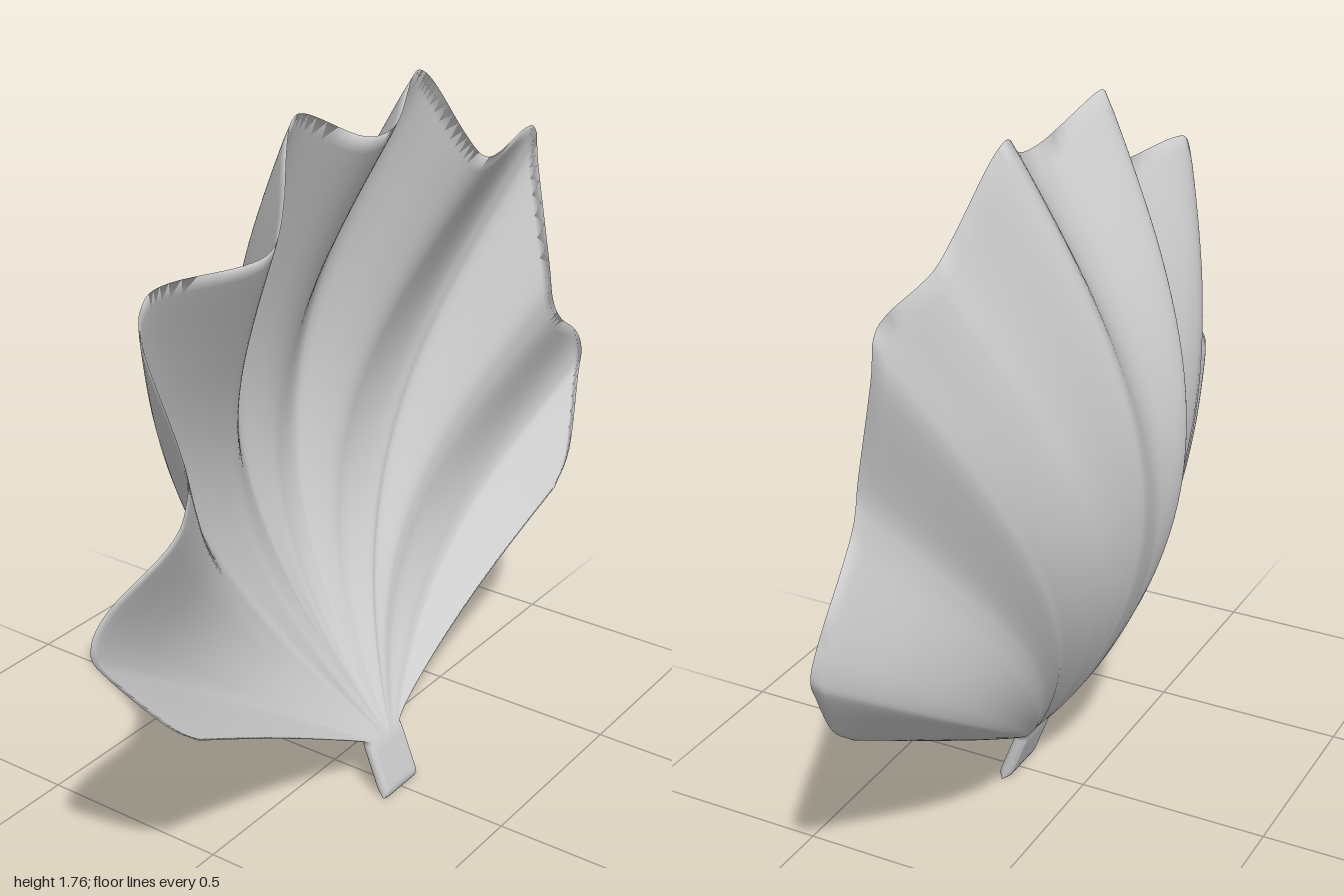
import * as THREE from 'three';
import { mergeVertices } from 'three/addons/utils/BufferGeometryUtils.js';

// Scalloped rim from the centre valley out to the side edge: x, y, z, bulge depth of that ray
const halfRim = [
  [0, 1.675, 0.13, 0.325], [0.08, 1.69, 0.12, 0.325], [0.2, 1.755, 0.075, 0.315],
  [0.25, 1.755, 0.07, 0.31], [0.29, 1.71, 0.085, 0.3], [0.35, 1.6, 0.12, 0.285],
  [0.41, 1.53, 0.138, 0.273], [0.5, 1.515, 0.13, 0.262], [0.69, 1.525, 0.09, 0.225],
  [0.76, 1.5, 0.08, 0.208], [0.77, 1.41, 0.085, 0.2], [0.735, 1.17, 0.15, 0.175],
  [0.745, 1.07, 0.16, 0.165], [0.8, 1.0, 0.155, 0.155], [0.95, 0.91, 0.12, 0.12],
  [1.0, 0.84, 0.115, 0.105], [0.97, 0.77, 0.125, 0.09], [0.85, 0.61, 0.175, 0.045],
  [0.76, 0.53, 0.185, 0.02],
];
const rim = [
  ...halfRim.slice(1).reverse().map(([x, y, z, d]) => [-x, y, z, d]),
  ...halfRim,
];
const rimCurve = new THREE.CatmullRomCurve3(
  rim.map(([x, y, z]) => new THREE.Vector3(x, y, z)), false, 'catmullrom', 0.5);
const depthCurve = new THREE.CatmullRomCurve3(
  rim.map(([x, , , d]) => new THREE.Vector3(x, d, 0)), false, 'catmullrom', 0.5);

// Middle surface: u runs across; t runs from the stem's foot (-1) to the hinge (0) to the rim (1)
function surfacePoint(u, t) {
  const s = 2 * u - 1;
  const hinge = new THREE.Vector3(0.072 * s * Math.abs(s), 0.145, 0.143);
  if (t < 0) return hinge.add(new THREE.Vector3(0, 0.145 * t, -0.057 * t));
  const p = hinge.lerp(rimCurve.getPoint(u), t);
  p.z -= depthCurve.getPoint(u).y * Math.sin(Math.PI * Math.pow(t, 0.9));
  return p;
}

// Half thickness: fullest at the stem, rounded off at the foot, the sides and the rim
function halfThickness(u, t) {
  const side = Math.sqrt(Math.min(1, Math.min(u, 1 - u) * 25));
  const end = Math.sqrt(Math.min(1, t < 0 ? (1 + t) * 8 + 0.1 : (1 - t) * 5));
  const body = THREE.MathUtils.lerp(0.018, 0.009, THREE.MathUtils.smoothstep(t, -0.2, 0.25));
  return body * side * end;
}

// Closed thin shell: each column goes up the front face and down the back face
function shellGeometry() {
  const across = (rim.length - 1) * 5;
  const rows = [];
  for (let j = 0; j < 12; j++) rows.push(j / 12 - 1);
  for (let j = 0; j <= 36; j++) rows.push(j / 36);
  const loop = [
    ...rows.map((t) => [t, 1]),
    ...rows.slice(0, -1).reverse().map((t) => [t, -1]),
  ];
  const n = loop.length;
  const positions = [], index = [];
  for (let i = 0; i <= across; i++) {
    const u = i / across;
    for (const [t, face] of loop) {
      const p = surfacePoint(u, t);
      positions.push(p.x, p.y, p.z + face * halfThickness(u, t));
    }
  }
  for (let i = 0; i < across; i++) {
    for (let j = 0; j < n; j++) {
      const a = i * n + j, b = a + n;
      const a2 = i * n + (j + 1) % n, b2 = a2 + n;
      index.push(a, b, b2, a, b2, a2);
    }
  }
  const geometry = new THREE.BufferGeometry();
  geometry.setAttribute('position', new THREE.Float32BufferAttribute(positions, 3));
  geometry.setIndex(index);
  const merged = mergeVertices(geometry, 1e-5);
  merged.computeVertexNormals();
  return merged;
}

export function createModel() {
  const material = new THREE.MeshStandardMaterial({ color: 0xcccccc, side: THREE.DoubleSide });
  const group = new THREE.Group();
  group.name = 'scallopShell';

  const shell = new THREE.Mesh(shellGeometry(), material);
  shell.name = 'ribbedFanWithStem';
  group.add(shell);
  return group;
}
